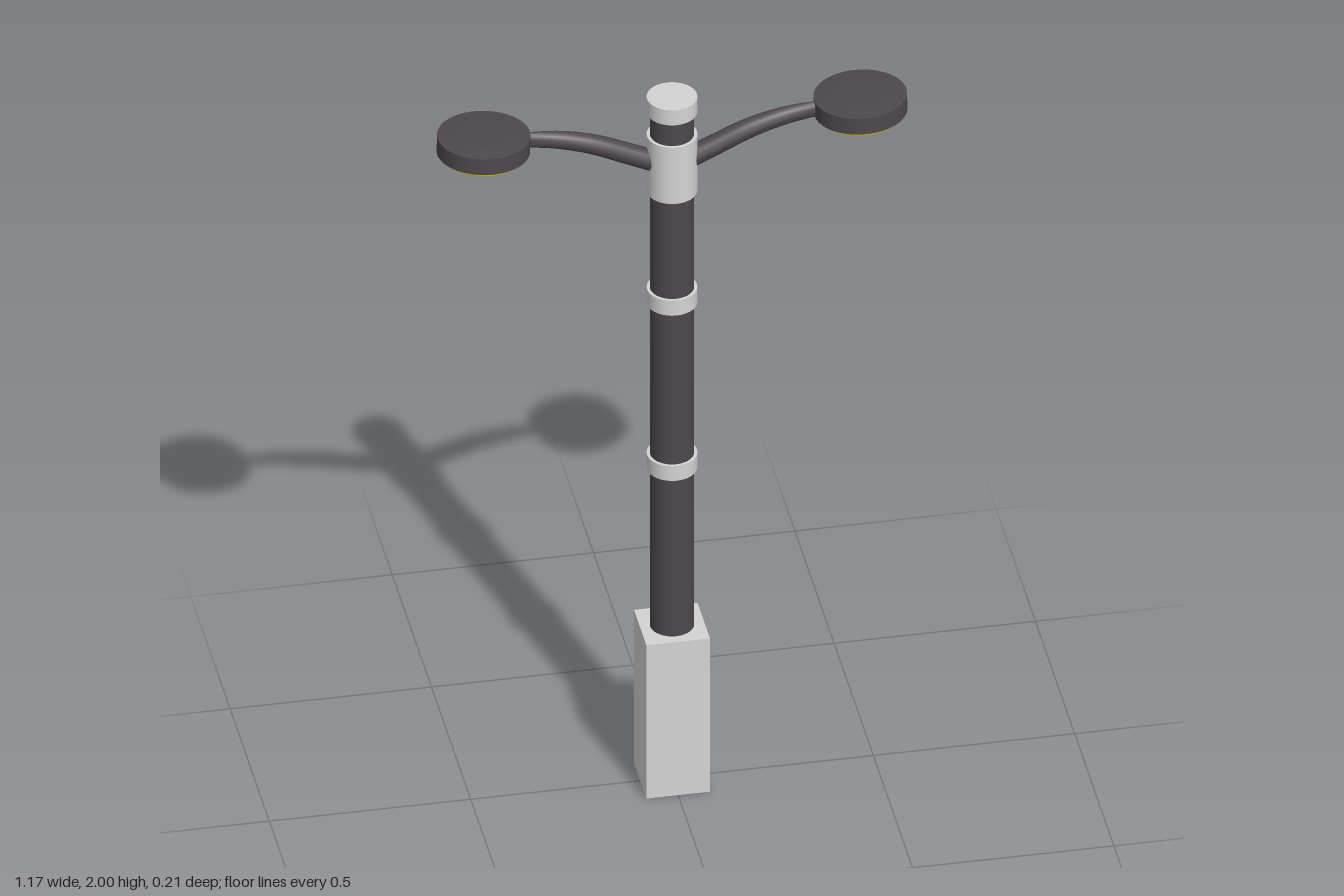
import * as THREE from 'three';

const mat = (name, color) => {
  const m = new THREE.MeshStandardMaterial({ color });
  m.name = name;
  return m;
};

export function createModel() {
  const dark = mat('charcoal metal', 0x4d484d);
  const light = mat('pale grey', 0xd4d4d4);
  const yellow = mat('yellow lens', 0xd6c400);
  const model = new THREE.Group();
  model.name = 'doubleStreetLamp';

  const add = (parent, name, geometry, material, x = 0, y = 0, z = 0) => {
    const mesh = new THREE.Mesh(geometry, material);
    mesh.name = name;
    mesh.position.set(x, y, z);
    parent.add(mesh);
    return mesh;
  };
  // Upright cylinder between two heights
  const column = (name, radius, y0, y1, material) =>
    add(model, name, new THREE.CylinderGeometry(radius, radius, y1 - y0, 32), material, 0, (y0 + y1) / 2);

  // Post with square plinth and pale rings
  add(model, 'plinth', new THREE.BoxGeometry(0.158, 0.45, 0.158), light, 0, 0.225);
  column('pole', 0.054, 0.45, 1.96, dark);
  column('lowerBand', 0.062, 0.912, 0.955, light);
  column('upperBand', 0.062, 1.397, 1.441, light);
  column('armCollar', 0.062, 1.725, 1.89, light);
  column('topCap', 0.062, 1.956, 2, light);

  // Curved arm, thinning towards the lamp head
  const path = new THREE.CatmullRomCurve3([
    [0.03, 1.81], [0.1, 1.842], [0.2, 1.886], [0.29, 1.91], [0.38, 1.92],
  ].map(([x, y]) => new THREE.Vector3(x, y, 0)));
  const rings = 24, sides = 16;
  const armGeometry = new THREE.TubeGeometry(path, rings, 1, sides);
  const pos = armGeometry.attributes.position;
  const v = new THREE.Vector3();
  for (let i = 0; i < pos.count; i++) {
    const t = Math.floor(i / (sides + 1)) / rings;
    const centre = path.getPointAt(t);
    v.fromBufferAttribute(pos, i).sub(centre);
    const r = 0.027 - 0.007 * t * t;
    v.multiplyScalar(r);
    v.z *= 1 - 0.55 * t ** 4;
    v.add(centre);
    pos.setXYZ(i, v.x, v.y, v.z);
  }
  armGeometry.computeVertexNormals();

  // Lamp head shell: slightly domed top, straight rim
  const shell = [
    new THREE.CylinderGeometry(0.107, 0.107, 0.046, 48, 1, true),
    new THREE.CylinderGeometry(0.06, 0.107, 0.006, 48),
  ];

  for (const [side, turn] of [['left', 0], ['right', Math.PI]]) {
    const branch = new THREE.Group();
    branch.name = side + 'Branch';
    branch.rotation.y = turn;
    model.add(branch);
    add(branch, side + 'Arm', armGeometry, dark);

    const head = new THREE.Group();
    head.name = side + 'LampHead';
    head.position.set(0.468, 1.923, 0);
    head.rotation.z = 0.03;
    head.scale.x = 1.07;
    branch.add(head);
    add(head, 'headRim', shell[0], dark);
    add(head, 'headTop', shell[1], dark, 0, 0.026);
    add(head, 'headUnderside', new THREE.CircleGeometry(0.107, 48).rotateX(Math.PI / 2), dark, 0, -0.023);
    add(head, 'lens', new THREE.CylinderGeometry(0.1, 0.098, 0.009, 48), yellow, 0, -0.0275);
  }
  return model;
}
